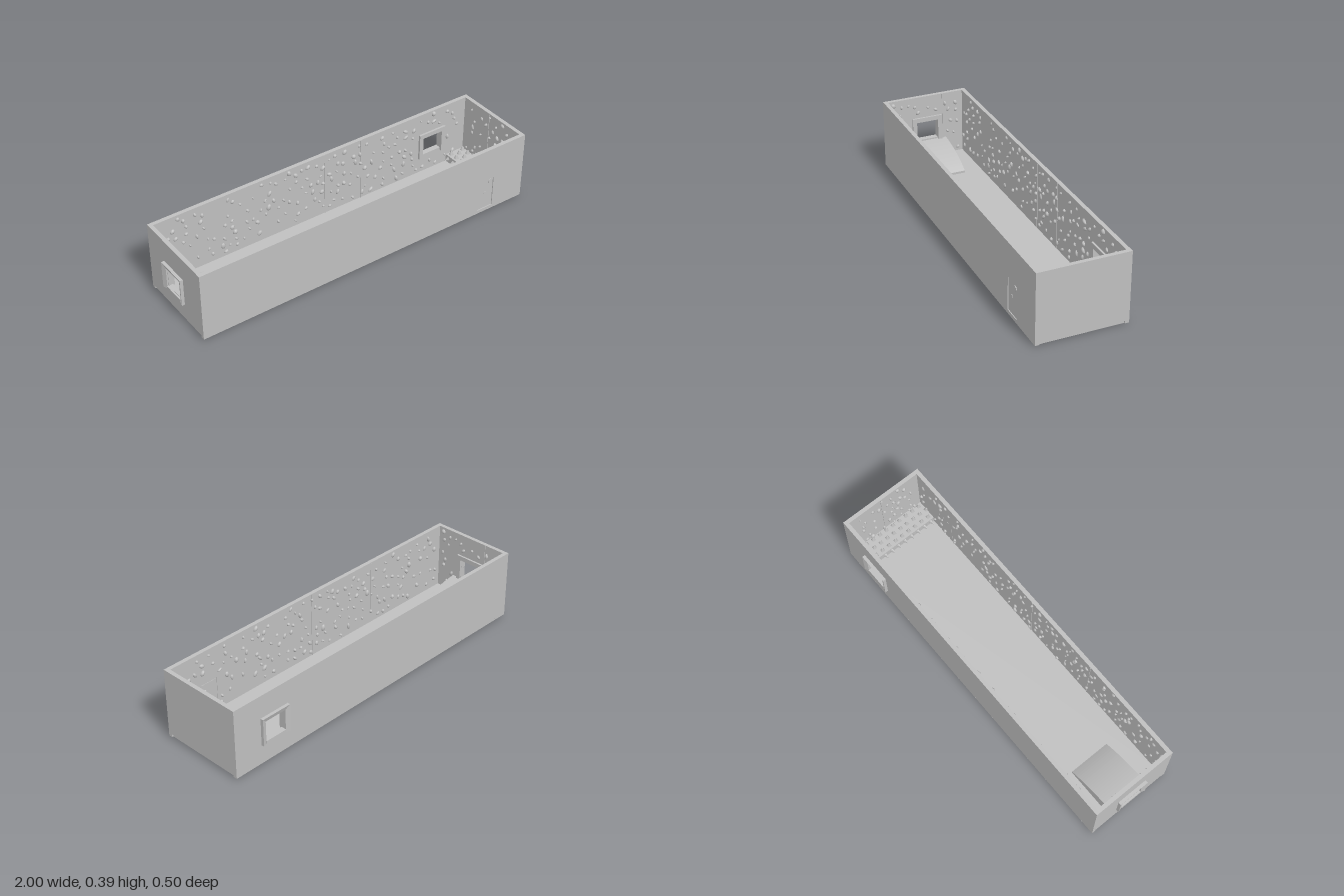
import * as THREE from 'three';
import { mergeGeometries } from 'three/addons/utils/BufferGeometryUtils.js';

export function createModel() {
  const root = new THREE.Group();
  root.name = 'openTrough';
  const grey = new THREE.MeshStandardMaterial({ color: 0xbfbfbf });
  grey.name = 'stone grey';

  let seed = 17;
  const rand = (a = 0, b = 1) => {
    seed = (seed * 16807) % 2147483647;
    return a + (b - a) * (seed / 2147483647);
  };
  const add = (name, geo, x = 0, y = 0, z = 0, parent = root) => {
    const mesh = new THREE.Mesh(geo, grey);
    mesh.name = name;
    mesh.position.set(x, y, z);
    parent.add(mesh);
    return mesh;
  };
  // box given by its minimum and maximum corners
  const block = (name, x0, x1, y0, y1, z0, z1, parent) =>
    add(name, new THREE.BoxGeometry(x1 - x0, y1 - y0, z1 - z0),
      (x0 + x1) / 2, (y0 + y1) / 2, (z0 + z1) / 2, parent);
  const outline = (target, u0, u1, y0, y1) => {
    target.moveTo(u0, y0);
    target.lineTo(u1, y0);
    target.lineTo(u1, y1);
    target.lineTo(u0, y1);
    target.closePath();
    return target;
  };
  const T = 0.022, TOP = 0.393;
  // upright slab with an optional rectangular opening
  const slab = (u0, u1, y0, hole) => {
    const shape = outline(new THREE.Shape(), u0, u1, y0, TOP);
    if (hole) shape.holes.push(outline(new THREE.Path(), ...hole));
    return new THREE.ExtrudeGeometry(shape, { depth: T, bevelEnabled: false });
  };

  // Floor and walls
  block('floor', -0.972, 0.99, 0.005, 0.023, -0.228, 0.246);
  add('frontWall', slab(-0.98, 1, 0.008, [0.7, 0.8, 0.028, 0.208]), 0, 0, 0.228);
  add('backWall', slab(-0.98, 1, 0.008, [0.687, 0.813, 0.13, 0.243]), 0, 0, -0.233);
  add('leftEndWall', slab(-0.211, 0.228, 0.023), 0.978, 0, 0).rotation.y = -Math.PI / 2;
  root.children.at(-1).position.x = 1;
  add('rightEndWall', slab(-0.211, 0.228, 0.023, [-0.06, 0.065, 0.13, 0.243]), -0.958, 0, 0)
    .rotation.y = -Math.PI / 2;

  // Inset door with a knob and a small peephole plate
  block('doorPanel', 0.702, 0.798, 0.03, 0.206, 0.228, 0.247);
  const knob = add('doorKnob', new THREE.CylinderGeometry(0.014, 0.014, 0.006, 20), 0.78, 0.19, 0.248);
  knob.rotation.x = Math.PI / 2;
  block('doorPeephole', 0.738, 0.752, 0.12, 0.134, 0.246, 0.2495);

  // Window surround, projecting along local +z
  const makeWindow = (name, x, z, turn) => {
    const g = new THREE.Group();
    g.name = name;
    g.position.set(x, 0, z);
    g.rotation.y = turn;
    const s = new THREE.Shape();
    s.moveTo(-0.0875, 0.115);
    s.lineTo(-0.063, 0.115);
    s.lineTo(-0.063, 0.243);
    s.lineTo(0.063, 0.243);
    s.lineTo(0.063, 0.115);
    s.lineTo(0.0875, 0.115);
    s.lineTo(0.0875, 0.268);
    s.lineTo(-0.0875, 0.268);
    const frame = new THREE.ExtrudeGeometry(s, { depth: 0.017, bevelEnabled: false });
    // slope the inner edge toward the opening
    const p = frame.attributes.position;
    for (let i = 0; i < p.count; i++) {
      const inner = Math.abs(p.getX(i)) < 0.07 && p.getY(i) < 0.25;
      if (inner && p.getZ(i) > 0.01) p.setZ(i, 0.008);
    }
    frame.computeVertexNormals();
    add('windowFrame', frame, 0, 0, 0, g);
    block('windowSill', -0.063, 0.063, 0.115, 0.13, 0, 0.01, g);
    for (const side of [-1, 1])
      block('innerJamb', side * 0.075 - 0.012, side * 0.075 + 0.012, 0.115, 0.268, -0.034, -T, g);
    block('innerLintel', -0.063, 0.063, 0.243, 0.268, -0.034, -T, g);
    root.add(g);
  };
  makeWindow('backWindow', 0.75, -0.233, Math.PI);
  makeWindow('endWindow', -0.981, 0.0025, -Math.PI / 2);

  // Curved ramp down from the end window
  const profile = new THREE.Shape();
  profile.moveTo(-0.958, 0.023);
  profile.lineTo(-0.958, 0.122);
  profile.quadraticCurveTo(-0.79, 0.105, -0.68, 0.035);
  profile.lineTo(-0.68, 0.023);
  add('ramp', new THREE.ExtrudeGeometry(profile, { depth: 0.23, bevelEnabled: false, curveSegments: 20 }), 0, 0, -0.11);

  // Pebbles and panel joints on the inner wall faces
  const lineWall = (name, x, z, turn, half, count, joints, skip) => {
    const g = new THREE.Group();
    g.name = name;
    g.position.set(x, 0, z);
    g.rotation.y = turn;
    const stones = [], placed = [];
    for (let tries = 0; placed.length < count && tries < 4000; tries++) {
      const u = rand(-half + 0.025, half - 0.025), v = rand(0.045, 0.372);
      if (placed.some(([a, b]) => Math.hypot(a - u, b - v) < 0.036)) continue;
      if (skip && u > skip[0] && u < skip[1] && v > skip[2] && v < skip[3]) continue;
      placed.push([u, v]);
      const size = rand(0.007, 0.014);
      const stone = new THREE.SphereGeometry(1, 8, 6);
      stone.scale(size * rand(0.6, 1), size * rand(0.9, 1.4), rand(0.007, 0.013));
      stone.rotateZ(rand(-1.2, 1.2));
      stone.translate(u, v, 0);
      stones.push(stone);
    }
    add('wallPebbles', mergeGeometries(stones), 0, 0, 0, g);
    for (const u of joints) block('panelJoint', u - 0.002, u + 0.002, 0.023, 0.39, 0, 0.003, g);
    root.add(g);
  };
  lineWall('backLining', 0.01, -0.211, 0, 0.968, 165, [0.035, 0.265], [0.63, 0.85, 0.09, 0.29]);
  lineWall('frontLining', 0.01, 0.228, Math.PI, 0.968, 165, [-0.035, 0.41], null);
  lineWall('rightEndLining', -0.958, 0.0085, Math.PI / 2, 0.219, 24, [0.1], [-0.11, 0.12, 0.02, 0.29]);
  lineWall('leftEndLining', 0.978, 0.0085, -Math.PI / 2, 0.219, 38, [-0.018], null);

  // Studded step at the far end of the floor
  block('studStep', 0.86, 0.978, 0.023, 0.065, -0.211, 0.228);
  const studs = [];
  for (let row = 0; row < 10; row++) {
    const z = -0.19 + row * 0.044;
    for (let col = 0; col < 3; col++) {
      const stud = new THREE.CylinderGeometry(0.004, 0.014, 0.022, 4).rotateY(Math.PI / 4);
      stud.translate(0.882 + col * 0.04, 0.076, z + (col % 2) * 0.02);
      studs.push(stud);
    }
    const spike = new THREE.ConeGeometry(0.013, 0.024, 4).rotateZ(Math.PI / 2);
    spike.translate(0.848, 0.045, z);
    studs.push(spike);
  }
  add('stepStuds', mergeGeometries(studs));

  // Small fixings along the base
  const pins = [];
  for (let i = 0; i < 14; i++) {
    const x = -0.9 + i * 0.14;
    for (const z of [-0.2, 0.222])
      pins.push(new THREE.CylinderGeometry(0.002, 0.002, 0.006, 8).translate(x, 0.003, z));
    pins.push(new THREE.CylinderGeometry(0.002, 0.002, 0.003, 8).rotateX(Math.PI / 2).translate(x, 0.016, -0.233));
  }
  add('basePins', mergeGeometries(pins));
  return root;
}
